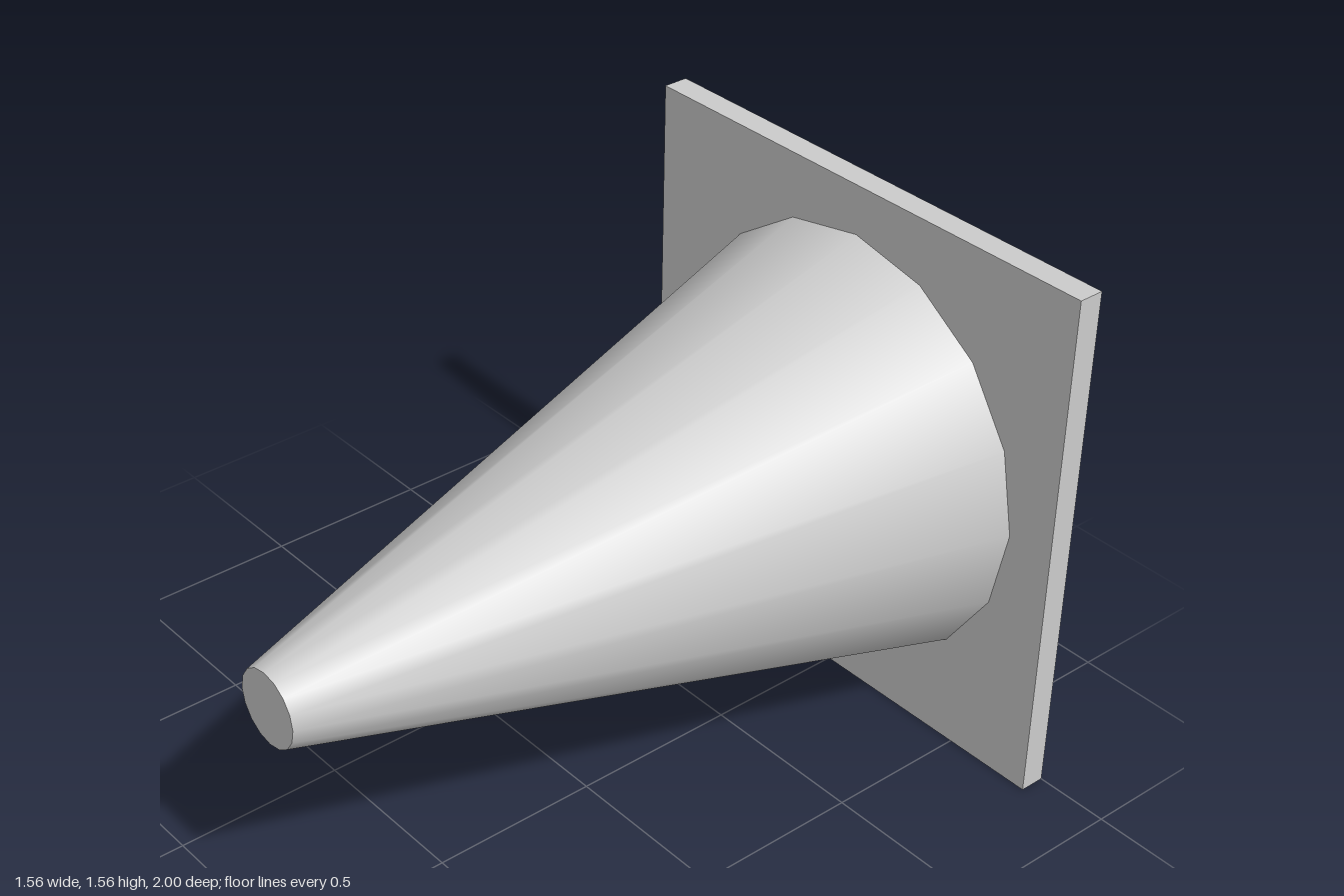
import * as THREE from 'three';

export function createModel() {
  const model = new THREE.Group();
  model.name = 'trafficCone';
  const grey = new THREE.MeshStandardMaterial({ color: 0xcccccc });
  grey.name = 'light grey';

  const size = 1.556, thickness = 0.075, centreY = size / 2;
  const length = 2 - thickness;

  // Square base plate, standing upright at the back
  const base = new THREE.Mesh(new THREE.BoxGeometry(size, size, thickness), grey);
  base.name = 'basePlate';
  base.position.set(0, centreY, -1 + thickness / 2);
  model.add(base);

  // Smooth 16-sided tapered body with a flat tip, pointing forward
  const body = new THREE.Mesh(new THREE.CylinderGeometry(0.11, 0.634, length, 16), grey);
  body.name = 'coneBody';
  body.rotation.x = Math.PI / 2;
  body.position.set(0, centreY, 1 - length / 2);
  model.add(body);

  return model;
}
